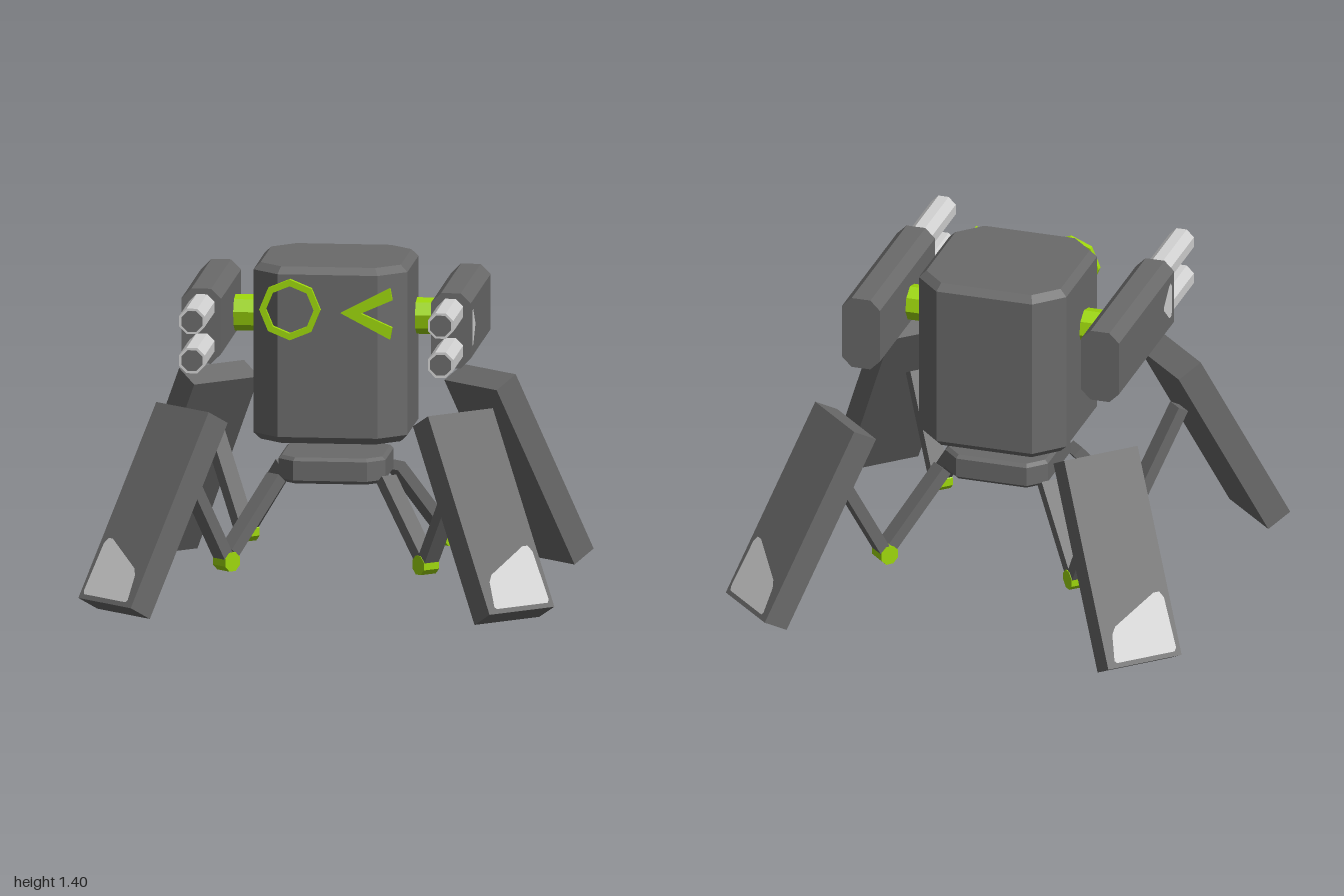
import * as THREE from 'three';

const mat = (name, color) => {
  const m = new THREE.MeshStandardMaterial({ color });
  m.name = name;
  return m;
};

export function createModel() {
  const grey = mat('armour grey', 0x6a6a6a);
  const pale = mat('pale metal', 0xd2d2d2);
  const green = mat('lime green', 0x9dd60c);
  const model = new THREE.Group();
  model.name = 'walkerRobot';

  const add = (parent, name, geo, material, x = 0, y = 0, z = 0) => {
    const mesh = new THREE.Mesh(geo, material);
    mesh.name = name;
    mesh.position.set(x, y, z);
    parent.add(mesh);
    return mesh;
  };
  const polygon = (pts) => new THREE.Shape(pts.map(([x, y]) => new THREE.Vector2(x, y)));
  // Rectangle with cut corners
  const cutRect = (a, b, c) => polygon([
    [a, c - b], [a, b - c], [a - c, b], [c - a, b], [-a, b - c], [-a, c - b], [c - a, -b], [a - c, -b]]);
  const ringPoints = (r, n) => Array.from({ length: n }, (_, i) =>
    [r * Math.cos(i * 2 * Math.PI / n), r * Math.sin(i * 2 * Math.PI / n)]);
  const extrude = (shape, depth) => new THREE.ExtrudeGeometry(shape, { depth, bevelEnabled: false });
  // Upright octagonal block with bevelled rims
  const octBlock = (half, cut, height, bevel) => {
    const geo = new THREE.ExtrudeGeometry(cutRect(half - bevel, half - bevel, cut - 0.586 * bevel), {
      depth: height - 2 * bevel, bevelSize: bevel, bevelThickness: bevel, bevelSegments: 1 });
    return geo.center().rotateX(-Math.PI / 2);
  };
  // Faceted cylinder
  const drum = (r, len, n, turn = 0) => {
    const geo = new THREE.CylinderGeometry(r, r, len, n).rotateY(turn).toNonIndexed();
    geo.computeVertexNormals();
    return geo;
  };

  // Body and pelvis
  add(model, 'body', octBlock(0.322, 0.113, 0.744, 0.029), grey, 0, 1.025, 0);
  add(model, 'pelvis', octBlock(0.224, 0.07, 0.11, 0.014), grey, 0, 0.524, 0);

  // Face: ring eye and winking eye
  const ring = polygon(ringPoints(0.128, 8));
  ring.holes.push(new THREE.Path(ringPoints(0.1, 8).map(([x, y]) => new THREE.Vector2(x, y))));
  add(model, 'ringEye', extrude(ring, 0.026), green, -0.15, 1.23, 0.367);
  const wink = polygon([[0.065, 0], [0.272, 0.108], [0.281, 0.058], [0.15, 0], [0.281, -0.058], [0.272, -0.108]]);
  add(model, 'winkEye', extrude(wink, 0.022), green, 0, 1.224, 0.393);

  // Guns on both sides
  for (const s of [-1, 1]) {
    const gun = new THREE.Group();
    gun.name = s > 0 ? 'leftGun' : 'rightGun';
    model.add(gun);
    add(gun, 'shoulderJoint', drum(0.076, 0.085, 8, 0.17).rotateZ(Math.PI / 2), green, s * 0.38, 1.15, -0.005);
    add(gun, 'gunHousing', extrude(cutRect(0.083, 0.158, 0.042), 0.746), grey, s * 0.522, 1.152, -0.373);
    for (const y of [1.068, 1.233]) {
      add(gun, 'barrel', drum(0.058, 0.38, 8, Math.PI / 8).rotateX(Math.PI / 2), pale, s * 0.52, y, 0.55);
      add(gun, 'muzzle', drum(0.047, 0.006, 8, Math.PI / 8).rotateX(Math.PI / 2), grey, s * 0.52, y, 0.74);
    }
    const mark = polygon([[0.333, 1.22], [0.318, 1.237], [0.3, 1.232], [0.226, 1.165],
      [0.228, 1.15], [0.3, 1.085], [0.325, 1.082], [0.333, 1.095]].map(([z, y]) => [-s * z, y]));
    add(gun, 'gunMark', new THREE.ShapeGeometry(mark).rotateY(s * Math.PI / 2), pale, s * 0.608, 0, 0);
  }

  // Legs: each is built along its own +x and turned to its corner
  const strut = (leg, name, [x0, y0], [x1, y1]) => {
    const geo = new THREE.BoxGeometry(0.05, Math.hypot(x1 - x0, y1 - y0), 0.075);
    add(leg, name, geo, grey, (x0 + x1) / 2, (y0 + y1) / 2, 0).rotation.z = Math.atan2(x0 - x1, y1 - y0);
  };
  const LEN = 0.888, THICK = 0.118;
  for (const sx of [-1, 1]) for (const sz of [-1, 1]) {
    const leg = new THREE.Group();
    leg.name = (sz > 0 ? 'front' : 'back') + (sx > 0 ? 'Left' : 'Right') + 'Leg';
    leg.position.set(sx * 0.034, 0, -sz * 0.032);
    leg.rotation.y = Math.atan2(-sz * 0.725, sx * 0.688);
    model.add(leg);

    strut(leg, 'upperStrut', [0.54, 0.2], [0.285, 0.49]);
    strut(leg, 'lowerStrut', [0.575, 0.19], [0.785, 0.57]);
    add(leg, 'knee', drum(0.043, 0.08, 8, Math.PI / 8).rotateX(Math.PI / 2), green, 0.556, 0.165, 0);

    const shell = new THREE.Group();
    shell.name = 'legShell';
    shell.position.set(0.955, 0.42, 0);
    shell.rotation.z = 28.5 * Math.PI / 180;
    leg.add(shell);
    add(shell, 'shellPlate', new THREE.BoxGeometry(THICK, LEN, 0.338), grey);
    // Slanted pale patch near the foot, taller on the outer flank
    const patch = polygon([[-0.135, 0.03], [-0.125, 0.02], [0.14, 0.02], [0.15, 0.035], [0.143, 0.25],
      [0.127, 0.277], [0.1, 0.277], [-0.1, 0.17], [-0.12, 0.14]].map(([w, h]) => [sx * sz * w, h - LEN / 2]));
    add(shell, 'shellPatch', new THREE.ShapeGeometry(patch).rotateY(Math.PI / 2), pale, THICK / 2 + 0.003, 0, 0);
  }
  return model;
}
